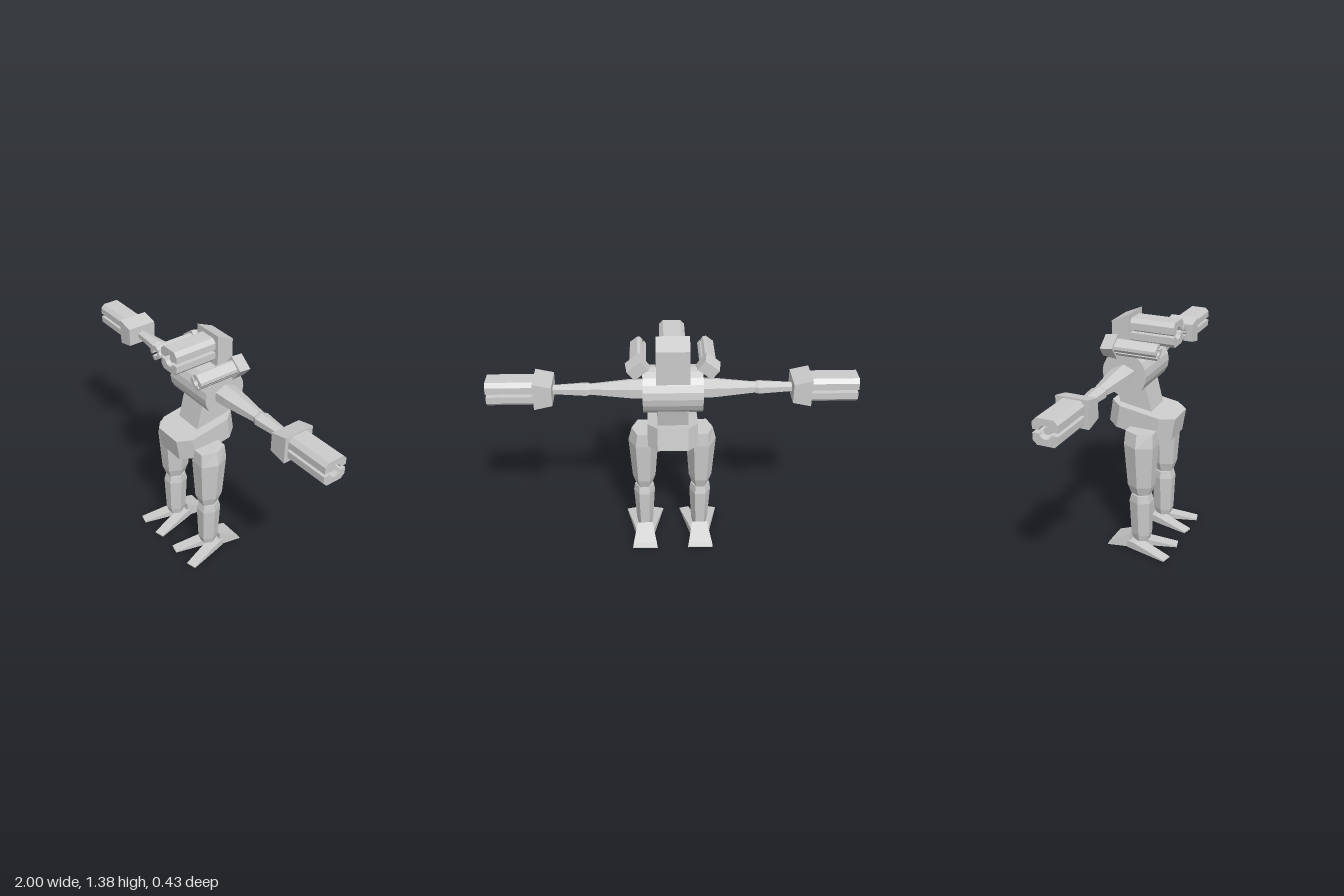
import * as THREE from 'three';

const material = new THREE.MeshStandardMaterial({ color: 0xcccccc, flatShading: true });

function add(parent, geometry, name) {
  const mesh = new THREE.Mesh(geometry, material);
  mesh.name = name;
  parent.add(mesh);
  return mesh;
}

// Flat-faced solid through rings of [x, y, z], each counter-clockwise seen from the far end
function loft(rings) {
  const n = rings[0].length;
  const index = [];
  for (let r = 0; r < rings.length - 1; r++) {
    for (let i = 0; i < n; i++) {
      const a = r * n + i, b = r * n + (i + 1) % n;
      index.push(a, b, b + n, a, b + n, a + n);
    }
  }
  const end = (rings.length - 1) * n;
  for (let i = 1; i < n - 1; i++) index.push(0, i + 1, i, end, end + i, end + i + 1);
  const geometry = new THREE.BufferGeometry();
  geometry.setAttribute('position', new THREE.Float32BufferAttribute(rings.flat(2), 3));
  geometry.setIndex(index);
  const flat = geometry.toNonIndexed();
  flat.computeVertexNormals();
  return flat;
}

// Six-sided limb along y from sections [y, half width x, half width z]
function limb(sections) {
  return loft(sections.map(([y, rx, rz]) => Array.from({ length: 6 }, (_, k) => {
    const a = k * Math.PI / 3;
    return [rx * Math.cos(a), y, -rz * Math.sin(a) / Math.sin(Math.PI / 3)];
  })));
}

const rectXY = (w, bottom, top, z) => [[w, bottom, z], [w, top, z], [-w, top, z], [-w, bottom, z]];
const rectXZ = (w, front, back, y) => [[w, y, front], [w, y, back], [-w, y, back], [-w, y, front]];

// Cannon firing along +z: two grooved barrel halves, an inner rod and a wedge housing
function cannon(name, size, length, depth, halfWidth, front, back) {
  const group = new THREE.Group();
  group.name = name;
  const w = 0.069 * size, c = 0.022 * size, gap = 0.009 * size, bore = 0.035 * size;
  const a = Math.asin(gap / bore);
  const shape = new THREE.Shape();
  shape.moveTo(w, gap);
  shape.lineTo(w, w - c);
  shape.lineTo(w - c, w);
  shape.lineTo(c - w, w);
  shape.lineTo(-w, w - c);
  shape.lineTo(-w, gap);
  shape.absarc(0, 0, bore, Math.PI - a, a, true);
  shape.closePath();
  for (const [half, turn] of [['upperBarrel', 0], ['lowerBarrel', Math.PI]]) {
    const geometry = new THREE.ExtrudeGeometry(shape, { depth: length, bevelEnabled: false, curveSegments: 8 });
    add(group, geometry.rotateZ(turn), half);
  }
  const rod = new THREE.CylinderGeometry(0.02 * size, 0.02 * size, length - 0.02, 12);
  add(group, rod.rotateX(Math.PI / 2).translate(0, 0, length / 2 - 0.01), 'innerRod');
  add(group, loft([
    rectXY(halfWidth, back[0], back[1], -depth),
    rectXY(halfWidth, front[0], front[1], 0),
  ]), 'cannonHousing');
  return group;
}

function createArm(side) {
  const arm = new THREE.Group();
  arm.name = side > 0 ? 'leftArm' : 'rightArm';
  add(arm, limb([[0.1, 0.056, 0.066], [0.23, 0.052, 0.06], [0.455, 0.03, 0.033]]).rotateZ(-Math.PI / 2), 'upperArm');
  add(arm, limb([[0.44, 0.03, 0.033], [0.465, 0.036, 0.043], [0.66, 0.026, 0.026]]).rotateZ(-Math.PI / 2), 'forearm');
  const gun = cannon('armCannon', 1, 0.255, 0.1, 0.09, [-0.077, 0.077], [-0.054, 0.054]);
  gun.rotation.y = Math.PI / 2;
  gun.position.set(0.745, 0.003, 0);
  arm.add(gun);
  arm.position.set(0, 1.068, -0.085);
  if (side < 0) arm.rotation.y = Math.PI;
  return arm;
}

function createLeg(side) {
  const leg = new THREE.Group();
  leg.name = side > 0 ? 'leftLeg' : 'rightLeg';
  add(leg, limb([[0.36, 0.05, 0.055], [0.415, 0.068, 0.072], [0.67, 0.087, 0.088], [0.75, 0.066, 0.082]]), 'thigh');
  add(leg, limb([[0.05, 0.042, 0.042], [0.09, 0.05, 0.055], [0.31, 0.063, 0.063], [0.355, 0.056, 0.052]]), 'shin');

  // Foot: wedge heel and two splayed toes
  add(leg, loft([
    rectXY(0.075, 0, 0.004, -0.19),
    rectXY(0.07, 0, 0.03, -0.175),
    rectXY(0.045, 0, 0.09, -0.055),
  ]), 'heel');
  for (const s of [-1, 1]) {
    const toe = add(leg, loft([
      rectXY(0.034, 0, 0.045, -0.03),
      rectXY(0.034, 0, 0.045, 0.02),
      rectXY(0.03, 0, 0.008, 0.235),
    ]), 'toe');
    toe.rotation.y = s * 0.25;
    toe.position.set(s * 0.028, 0, -0.035);
  }
  leg.position.set(side * 0.167, 0, 0.02);
  return leg;
}

export function createModel() {
  const model = new THREE.Group();
  model.name = 'robot';

  // Torso drum and leaning spine
  const torso = add(model, new THREE.CylinderGeometry(0.13, 0.13, 0.324, 20).rotateZ(Math.PI / 2), 'torso');
  torso.position.set(0, 1.066, -0.084);
  add(model, loft([rectXZ(0.085, 0.053, -0.13, 0.8), rectXZ(0.085, 0.002, -0.18, 1.01)]), 'spine');

  // Tilted eight-sided hips
  const hipRing = (y) => [
    [0.14, y, 0.12], [0.14, y, -0.125], [0.085, y, -0.193], [-0.085, y, -0.193],
    [-0.14, y, -0.125], [-0.14, y, 0.12], [-0.085, y, 0.193], [0.085, y, 0.193],
  ];
  const hips = add(model, loft([hipRing(-0.067), hipRing(0.067)]), 'hips');
  hips.position.set(0, 0.777, -0.0135);
  hips.rotation.x = 0.162;

  // Head cannon
  const head = cannon('headCannon', 1, 0.255, 0.1, 0.09, [-0.14, 0.096], [-0.14, 0.053]);
  head.position.set(0, 1.284, -0.088);
  model.add(head);

  for (const side of [-1, 1]) {
    const gun = cannon('shoulderCannon', 0.54, 0.24, 0.077, 0.048, [-0.048, 0.048], [-0.032, 0.032]);
    gun.position.set(side * 0.186, 1.228, -0.11);
    gun.rotation.z = -side * 0.66;
    model.add(gun, createArm(side), createLeg(side));
  }
  return model;
}
